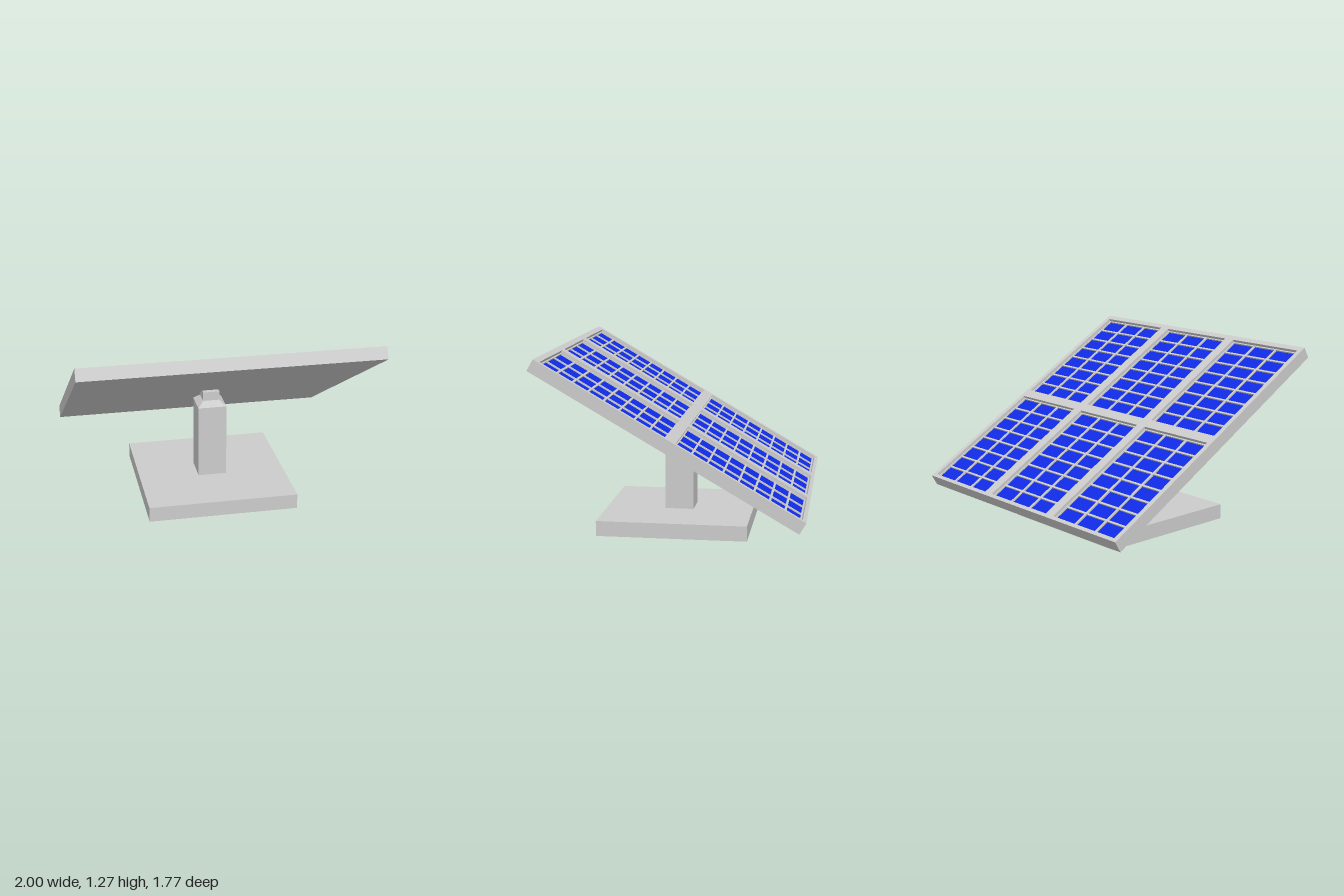
import * as THREE from 'three';

const grey = new THREE.MeshStandardMaterial({ color: 0xcccccc, flatShading: true });
const blue = new THREE.MeshStandardMaterial({ color: 0x0f2be6 });

function add(parent, name, geometry, material, x = 0, y = 0, z = 0) {
  const mesh = new THREE.Mesh(geometry, material);
  mesh.name = name;
  mesh.position.set(x, y, z);
  parent.add(mesh);
  return mesh;
}

function rect(PathType, cx, cy, w, h) {
  return new PathType([
    [-1, -1], [1, -1], [1, 1], [-1, 1],
  ].map(([i, j]) => new THREE.Vector2(cx + i * w / 2, cy + j * h / 2)));
}

// Flat plate lying in xz with its underside at y = 0; holes are [x, z, width, length]
function plate(w, l, thickness, holes) {
  const shape = rect(THREE.Shape, 0, 0, w, l);
  shape.holes = holes.map(([x, z, hw, hl]) => rect(THREE.Path, x, -z, hw, hl));
  return new THREE.ExtrudeGeometry(shape, { depth: thickness, bevelEnabled: false }).rotateX(-Math.PI / 2);
}

export function createModel() {
  const model = new THREE.Group();
  model.name = 'solarPanel';

  // Stand: square base, post, tapered shoulder and neck
  const stand = new THREE.Group();
  stand.name = 'stand';
  stand.position.z = 0.045;
  model.add(stand);
  add(stand, 'base', new THREE.BoxGeometry(1.034, 0.105, 1.034), grey, 0, 0.0525, 0);
  add(stand, 'post', new THREE.BoxGeometry(0.2, 0.52, 0.2), grey, 0, 0.365, 0);
  const shoulder = new THREE.CylinderGeometry(0.058 * Math.SQRT2, 0.1 * Math.SQRT2, 0.037, 4).rotateY(Math.PI / 4);
  add(stand, 'shoulder', shoulder, grey, 0, 0.6435, 0);
  add(stand, 'neck', new THREE.BoxGeometry(0.116, 0.065, 0.116), grey, 0, 0.6925, 0);

  // Tilted panel, high edge towards the front
  const panel = new THREE.Group();
  panel.name = 'panel';
  panel.position.y = 0.736;
  panel.rotation.x = -Math.PI / 6;
  model.add(panel);

  const half = 0.0425, floor = 0.005;
  const winW = 0.593, winL = 0.93;
  const windows = [];
  for (const x of [-0.668, 0, 0.668]) {
    for (const z of [-0.508, 0.495]) windows.push([x, z, winW, winL]);
  }
  add(panel, 'backing', new THREE.BoxGeometry(2, half + floor, 2), grey, 0, (floor - half) / 2, 0);
  add(panel, 'frame', plate(2, 2, half - floor, windows), grey, 0, floor, 0);

  // Recessed lattice of 3 x 8 openings, with the blue cells sunk below it
  const cellW = 0.182, cellL = 0.1015;
  const openings = [];
  for (let c = 0; c < 3; c++) {
    for (let r = 0; r < 8; r++) {
      openings.push([(c - 1) * (cellW + 0.015), (r - 3.5) * (cellL + 0.014), cellW, cellL]);
    }
  }
  const lattice = plate(winW, winL, 0.0175, openings);
  const cells = new THREE.PlaneGeometry(winW, winL).rotateX(-Math.PI / 2);
  for (const [x, z] of windows) {
    add(panel, 'lattice', lattice, grey, x, floor, z);
    add(panel, 'cells', cells, blue, x, 0.0125, z);
  }
  return model;
}
